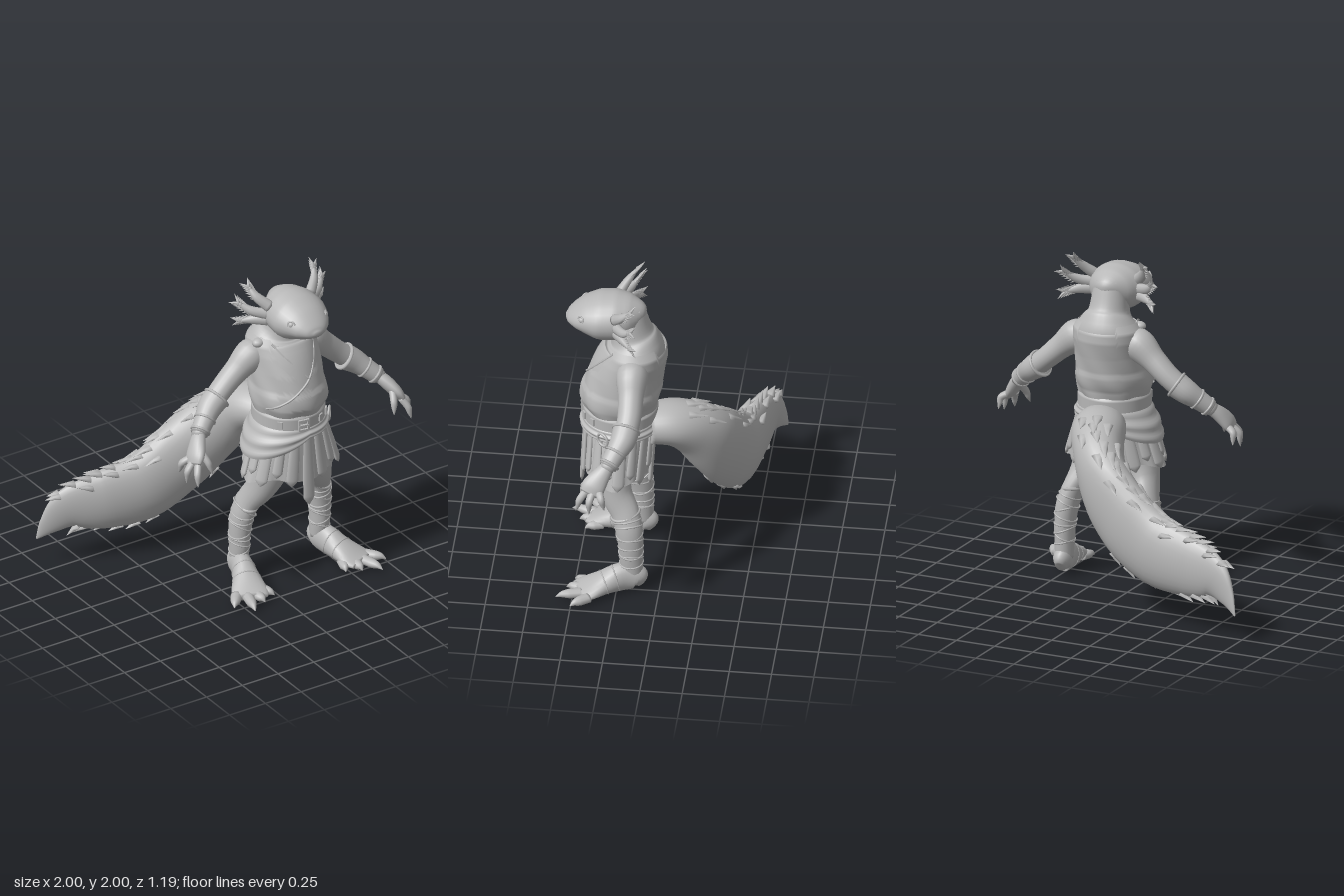
import * as THREE from 'three';
import { ParametricGeometry } from 'three/addons/geometries/ParametricGeometry.js';

const V = (x, y, z) => new THREE.Vector3(x, y, z);
const lerp = THREE.MathUtils.lerp;

export function createModel() {
  const clay = new THREE.MeshStandardMaterial({ color: 0xb8b8b8, side: THREE.DoubleSide });
  clay.name = 'grey clay';
  const model = new THREE.Group();
  const figure = new THREE.Group();
  figure.name = 'figure';
  figure.position.x = 0.21; // the body stands beside the long tail
  model.add(figure);

  const add = (name, geo) => {
    const m = new THREE.Mesh(geo, clay);
    m.name = name;
    figure.add(m);
    return m;
  };
  const Y = V(0, 1, 0), Z = V(0, 0, 1);

  // Smooth path through sections [x, y, z, half width, half depth]
  function path(sections, ref) {
    const c = new THREE.CatmullRomCurve3(sections.map(s => V(s[0], s[1], s[2])));
    const r = new THREE.CatmullRomCurve3(sections.map(s => V(s[3], s[4], 0)));
    return t => {
      const p = c.getPoint(t), q = r.getPoint(t), dir = c.getTangent(t);
      const side = dir.clone().cross(ref).normalize();
      const up = side.clone().cross(dir).normalize();
      return {
        p, dir, side, up,
        at: (ang, k = 1) => p.clone().addScaledVector(side, k * q.x * Math.cos(ang)).addScaledVector(up, k * q.y * Math.sin(ang)),
      };
    };
  }
  // Capped elliptical sweep along such a path
  function sweep(name, sections, ref = Z, n = 20, steps = sections.length * 4) {
    const f = path(sections, ref), pos = [], idx = [];
    for (let i = 0; i <= steps; i++) {
      const s = f(i / steps);
      for (let j = 0; j < n; j++) pos.push(...s.at(j / n * Math.PI * 2).toArray());
    }
    const c0 = (steps + 1) * n, c1 = c0 + 1;
    pos.push(...f(0).p.toArray(), ...f(1).p.toArray());
    for (let j = 0; j < n; j++) {
      const k = (j + 1) % n;
      for (let i = 0; i < steps; i++) {
        const a = i * n + j, b = a + n, c = i * n + k, d = c + n;
        idx.push(a, b, c, c, b, d);
      }
      idx.push(c0, j, k, c1, steps * n + k, steps * n + j);
    }
    const g = new THREE.BufferGeometry();
    g.setAttribute('position', new THREE.Float32BufferAttribute(pos, 3));
    g.setIndex(idx);
    g.computeVertexNormals();
    return add(name, g);
  }
  const flip = (s, rows) => rows.map(r => [r[0] * s, ...r.slice(1)]);
  const spike = (name, p, dir, len, a, b = a) => {
    const e = p.clone().addScaledVector(dir.clone().normalize(), len);
    sweep(name, [[...p.toArray(), a, b], [...e.toArray(), 0.001, 0.001]], Math.abs(dir.y) > 0.9 ? Z : Y, 6, 2);
  };
  const cord = (name, pts, r, closed = false) =>
    add(name, new THREE.TubeGeometry(new THREE.CatmullRomCurve3(pts, closed), 36, r, 6, closed));
  const hoop = (name, q, r, tilt = 0) => cord(name, Array.from({ length: 8 }, (_, j) =>
    q.at(j * Math.PI / 4, 0.98).add(V(0, tilt * Math.cos(j * Math.PI / 4), 0))), r, true);
  const sheet = (name, fn, nu = 64, nv = 12) =>
    add(name, new ParametricGeometry((u, v, out) => out.copy(fn((u * 2 - 1) * Math.PI, v)), nu, nv));

  // Torso and neck: [y, centre z, half width, half depth]
  const torso = [[1.0, 0.26, 0.2, 0.2], [1.15, 0.26, 0.2, 0.205], [1.2, 0.265, 0.205, 0.21], [1.28, 0.25, 0.21, 0.22],
    [1.4, 0.222, 0.205, 0.21], [1.5, 0.188, 0.205, 0.195], [1.56, 0.172, 0.2, 0.175], [1.61, 0.175, 0.165, 0.15],
    [1.66, 0.188, 0.122, 0.128], [1.75, 0.2, 0.108, 0.105], [1.83, 0.22, 0.1, 0.1]];
  sweep('torso and neck', torso.map(([y, z, a, b]) => [0, y, z, a, b]), Z, 28);
  function onTorso(th, y, off) {
    let i = 0;
    while (i < torso.length - 2 && y > torso[i + 1][0]) i++;
    const A = torso[i], B = torso[i + 1], k = (y - A[0]) / (B[0] - A[0]);
    return V((lerp(A[2], B[2], k) + off) * Math.sin(th), y, lerp(A[1], B[1], k) + (lerp(A[3], B[3], k) + off) * Math.cos(th));
  }

  // Tunic with V neck, bloused over the belt in soft folds
  const neckline = th => Math.abs(th) < 0.8 ? Math.min(1.59, 1.37 + 0.29 * Math.abs(th - 0.1))
    : Math.abs(th) > 2.5 ? 1.57 : 1.61;
  function onTunic(th, y, lift = 0) {
    const k = THREE.MathUtils.clamp((y - 1.15) / 0.4, 0, 1);
    return onTorso(th, y, 0.012 + lift + 0.005 * Math.sin(th * 7 + y * 22) * (1 - k) + 0.012 * Math.sin(Math.min(1, k * 2.5) * Math.PI));
  }
  sheet('tunic', (th, v) => onTunic(th, lerp(1.15, neckline(th), v)), 72, 24);
  const edge = list => list.map(([th, y]) => onTunic(th, y, 0.001));
  cord('tunic wrap edge', edge([[0.85, 1.59], [0.5, 1.49], [0.12, 1.38], [-0.2, 1.325], [-0.5, 1.28], [-0.85, 1.235], [-1.2, 1.2]]), 0.007);
  cord('tunic under edge', edge([[-0.8, 1.59], [-0.35, 1.5], [0.12, 1.38]]), 0.007);
  const knot = add('shoulder knot', new THREE.SphereGeometry(0.035, 14, 10));
  knot.position.set(-0.18, 1.58, 0.22);
  knot.scale.set(1.2, 0.8, 1);

  // Head, widest behind the eyes
  sweep('head', [[0, 1.757, 0.582, 0.02, 0.012], [0, 1.757, 0.565, 0.065, 0.035], [0, 1.763, 0.52, 0.115, 0.068],
    [0, 1.772, 0.45, 0.155, 0.108], [0, 1.775, 0.37, 0.178, 0.138], [0, 1.78, 0.28, 0.172, 0.142],
    [0, 1.79, 0.2, 0.135, 0.118], [0, 1.79, 0.14, 0.075, 0.075], [0, 1.78, 0.115, 0.02, 0.02]], Y, 28);

  for (const s of [1, -1]) {
    // Eyes
    const eye = add('eye', new THREE.SphereGeometry(0.02, 14, 10));
    eye.position.set(s * 0.117, 1.805, 0.475);
    const lid = add('eyelid', new THREE.TorusGeometry(0.022, 0.006, 6, 18));
    lid.position.set(s * 0.122, 1.806, 0.482);
    lid.rotation.set(-0.3, s * 0.85, 0);

    // Feathery gills
    const gills = [[[0.14, 1.84, 0.28], [0.2, 1.9, 0.23], [0.23, 1.96, 0.18]],
      [[0.15, 1.79, 0.27], [0.235, 1.815, 0.22], [0.295, 1.865, 0.17]],
      [[0.15, 1.75, 0.27], [0.225, 1.75, 0.22], [0.29, 1.735, 0.17]]];
    for (const g of gills) {
      const rows = flip(s, g.map((p, i) => [...p, [0.036, 0.028, 0.008][i], [0.03, 0.022, 0.006][i]]));
      sweep('gill', rows, Z, 10);
      const f = path(rows, Z);
      for (let i = 0; i < 7; i++) for (const e of [1, -1]) {
        const q = f(0.35 + i * 0.1);
        spike('gill frill', q.p, q.dir.clone().addScaledVector(q.side, 0.65 * e).add(V(0, 0, -0.2)), 0.062, 0.013);
      }
    }

    // Arm, bracer and hand
    sweep('arm', flip(s, [[0.12, 1.51, 0.17, 0.06, 0.07], [0.2, 1.48, 0.17, 0.1, 0.095], [0.3, 1.402, 0.165, 0.074, 0.075],
      [0.4, 1.313, 0.165, 0.066, 0.07], [0.49, 1.238, 0.185, 0.064, 0.066], [0.57, 1.175, 0.23, 0.053, 0.054],
      [0.64, 1.11, 0.275, 0.04, 0.043]]));
    const bracer = flip(s, [[0.44, 1.272, 0.175, 0.08, 0.08], [0.5, 1.23, 0.19, 0.073, 0.076], [0.56, 1.18, 0.225, 0.06, 0.062],
      [0.625, 1.122, 0.265, 0.052, 0.054]]);
    sweep('bracer', bracer);
    for (const t of [0.03, 0.66, 0.93]) hoop('bracer strap', path(bracer, Z)(t), 0.009);
    sweep('palm', flip(s, [[0.62, 1.13, 0.26, 0.035, 0.038], [0.66, 1.085, 0.3, 0.04, 0.055], [0.7, 1.03, 0.34, 0.036, 0.07],
      [0.725, 0.99, 0.36, 0.022, 0.06]]));
    const fingers = [[0.71, 1.01, 0.31, 0.76, 0.98, 0.29, 0.768, 0.91, 0.27], [0.72, 1.0, 0.345, 0.765, 0.96, 0.36, 0.774, 0.88, 0.36],
      [0.71, 1.0, 0.385, 0.735, 0.95, 0.42, 0.745, 0.88, 0.44], [0.67, 1.06, 0.35, 0.65, 1.0, 0.4, 0.635, 0.93, 0.425]];
    for (const c of fingers) sweep('finger', flip(s, [[c[0], c[1], c[2], 0.022, 0.024], [c[3], c[4], c[5], 0.021, 0.022],
      [lerp(c[3], c[6], 0.5), lerp(c[4], c[7], 0.5), lerp(c[5], c[8], 0.5), 0.015, 0.015], [c[6], c[7], c[8], 0.002, 0.002]]), Z, 10);

    // Leg, cloth wraps and foot
    const leg = flip(s, [[0.1, 0.97, 0.28, 0.1, 0.13], [0.145, 0.76, 0.29, 0.12, 0.11], [0.195, 0.63, 0.265, 0.088, 0.095],
      [0.245, 0.52, 0.205, 0.063, 0.085], [0.27, 0.42, 0.18, 0.067, 0.082], [0.28, 0.3, 0.168, 0.062, 0.074],
      [0.28, 0.2, 0.165, 0.058, 0.07], [0.28, 0.1, 0.155, 0.054, 0.06]]);
    sweep('leg', leg);
    for (let i = 0; i < 9; i++) hoop('leg wrap', path(leg, Z)(0.44 + i * 0.053), i ? 0.006 : 0.011, 0.03 * Math.sin(i * 2.3 + s));
    const foot = flip(s, [[0.277, 0.055, 0.098, 0.03, 0.04], [0.28, 0.085, 0.13, 0.056, 0.08], [0.295, 0.095, 0.21, 0.063, 0.092],
      [0.33, 0.068, 0.32, 0.085, 0.066], [0.37, 0.042, 0.42, 0.11, 0.036], [0.39, 0.034, 0.465, 0.1, 0.022]]);
    sweep('foot', foot, Y);
    for (const t of [0.48, 0.6]) hoop('foot wrap', path(foot, Y)(t), 0.005);
    for (const [x0, z0, x1, z1] of [[0.29, 0.4, 0.25, 0.5], [0.345, 0.44, 0.34, 0.54], [0.4, 0.44, 0.445, 0.595], [0.45, 0.4, 0.53, 0.5]])
      sweep('toe', flip(s, [[x0, 0.035, z0, 0.036, 0.028], [lerp(x0, x1, 0.5), 0.034, lerp(z0, z1, 0.5), 0.031, 0.028],
        [lerp(x0, x1, 0.75), 0.034, lerp(z0, z1, 0.75), 0.02, 0.02], [x1, 0.022, z1, 0.002, 0.002]]), Y, 10);
  }

  // Belt with buckle and studs
  sheet('belt', (th, v) => onTorso(th, lerp(1.05, 1.155, v), 0.008 + 0.01 * Math.min(1, 8 * v * (1 - v))), 64, 10);
  const box = (name, th, y, w, h, d) => {
    const m = add(name, new THREE.BoxGeometry(w, h, d));
    m.position.copy(onTorso(th, y, 0.02));
    m.rotation.y = th;
  };
  for (const e of [-1, 1]) {
    box('buckle bar', -0.15, 1.1 + e * 0.032, 0.065, 0.012, 0.02);
    box('buckle side', -0.15 + e * 0.13, 1.1, 0.012, 0.07, 0.02);
  }
  box('buckle pin', -0.15, 1.1, 0.06, 0.01, 0.025);
  for (const th of [-0.8, 0.45, 0.85]) box('belt stud', th, 1.105, 0.03, 0.045, 0.015);

  // Cloth gathered over the right hip, and a ring on the left
  sheet('hip drape', (th, v) => {
    const right = Math.max(0, -Math.sin(th));
    const y = lerp(1.075, 1.0 - 0.13 * right, v);
    const r = 0.213 + 0.025 * Math.sin(v * Math.PI * 0.8) + 0.075 * right * v + 0.004 * Math.sin(v * 16);
    return V(r * Math.sin(th), y, 0.26 + (r - 0.05 * right * v) * Math.cos(th));
  }, 64, 14);
  const ring = add('hip ring', new THREE.TorusGeometry(0.04, 0.008, 8, 24));
  ring.position.set(0.235, 1.03, 0.34);
  ring.rotation.y = 0.9;

  // Skirt lining and rounded, pointed strips
  const skirt = (th, v, off = 0) => V((lerp(0.2, 0.3, v) + off) * Math.sin(th), lerp(1.06, 0.74, v),
    lerp(0.26, 0.278, v) + (lerp(0.203, 0.195, v) + off) * Math.cos(th));
  sheet('skirt lining', (th, v) => skirt(th, v * (1.04 + 0.06 * Math.cos(th * 4)), 0.006 * v * Math.sin(th * 12)), 72, 8);
  function strip(name, th, len, w) {
    const top = skirt(th, 0.02, 0.004), low = skirt(th, 1, 0.008);
    const down = low.sub(top).normalize();
    const rows = [[0, 0.75], [0.3, 0.9], [0.65, 1.05], [0.88, 1.1], [0.93, 0.8], [1, 0.05]].map(([k, f]) =>
      [...top.clone().addScaledVector(down, k * len).toArray(), w * f, 0.014 * Math.min(1, f)]);
    sweep(name, rows, V(Math.sin(th) / 0.3, 0, Math.cos(th) / 0.2).normalize(), 12, 20);
  }
  for (let i = 1; i < 18; i++) if (i !== 9) strip('skirt strip', i * Math.PI / 9, i % 2 ? 0.36 : 0.3, i % 2 ? 0.034 : 0.028);
  strip('front centre strip', 0, 0.5, 0.036);
  strip('back centre strip', Math.PI, 0.49, 0.034);

  // Long tail sweeping back, down and to the right
  const tail = [[0, 1.0, 0.1, 0.14, 0.11], [-0.045, 0.99, -0.04, 0.16, 0.135], [-0.1, 0.92, -0.16, 0.15, 0.165],
    [-0.19, 0.78, -0.27, 0.14, 0.2], [-0.36, 0.59, -0.345, 0.125, 0.225], [-0.58, 0.44, -0.39, 0.115, 0.225],
    [-0.82, 0.395, -0.445, 0.09, 0.198], [-1.03, 0.365, -0.51, 0.052, 0.14], [-1.14, 0.27, -0.555, 0.024, 0.07],
    [-1.208, 0.175, -0.592, 0.004, 0.006]];
  sweep('tail', tail, Y, 28, 60);
  const tf = path(tail, Y);
  // Tufts of fur lie along the crest and the lower edge
  const tuft = (t, ang, len) => {
    const q = tf(t), p = q.at(ang, 0.93);
    spike('tail tuft', p, q.dir.clone().multiplyScalar(0.95).addScaledVector(q.at(ang).sub(q.p).normalize(), 0.28), len, 0.04, 0.018);
  };
  for (let i = 0; i < 18; i++) {
    const t = 0.14 + i * 0.038, w = Math.sin(i * 5.1), len = 0.12 - 0.03 * i / 18;
    tuft(t, Math.PI * 0.5 + 0.15 * w, len + 0.02 * w);
    tuft(t, Math.PI * 0.5 + (i % 2 ? 0.55 : -0.55) + 0.2 * w, len);
    if (i > 6) tuft(t, -Math.PI * 0.5 + 0.3 * w, 0.09);
  }
  return model;
}
